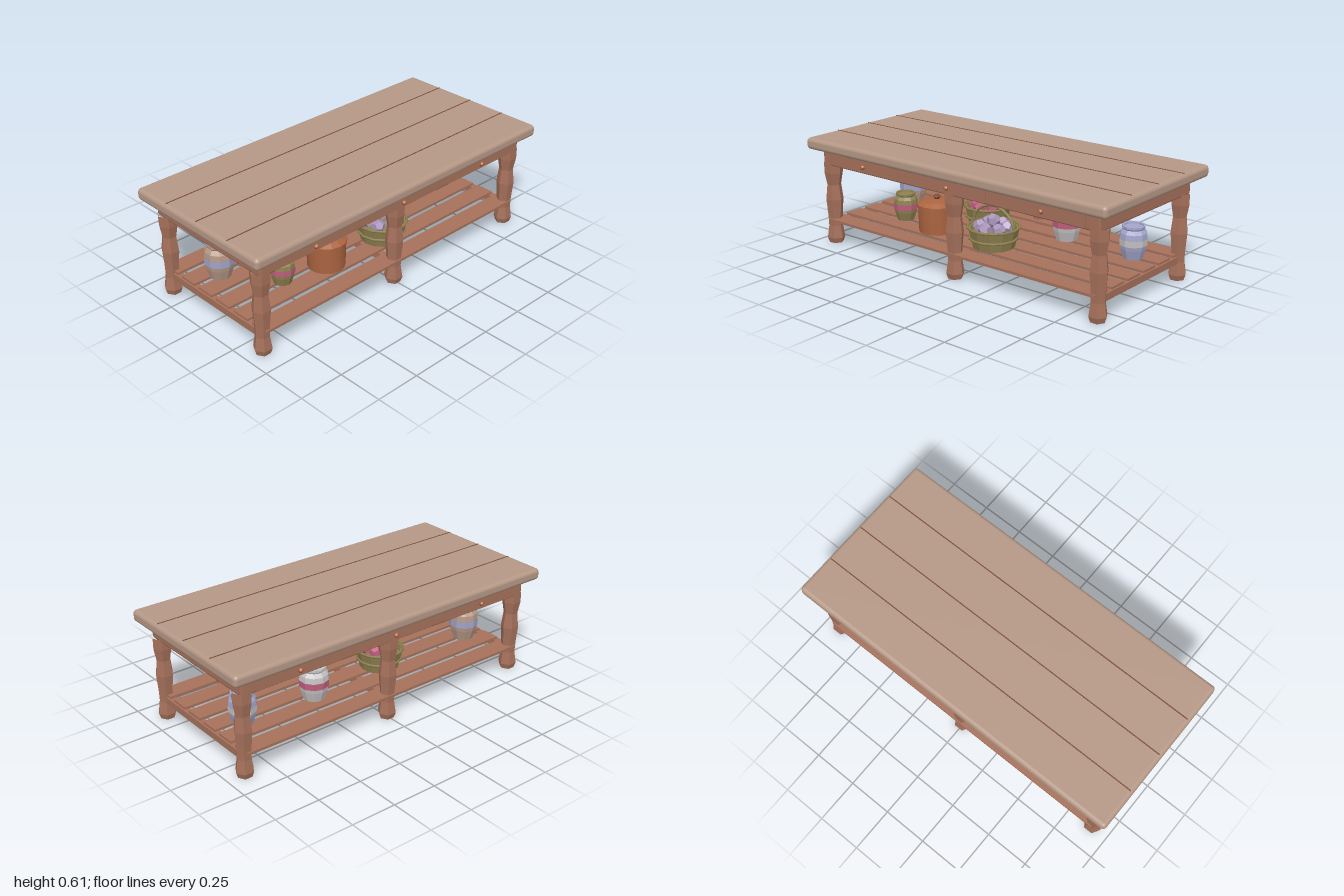
import * as THREE from 'three';
import { toCreasedNormals } from 'three/addons/utils/BufferGeometryUtils.js';
import { RoundedBoxGeometry } from 'three/addons/geometries/RoundedBoxGeometry.js';

const mat = (name, color) => {
  const m = new THREE.MeshStandardMaterial({ color });
  m.name = name;
  return m;
};

export function createModel() {
  const top = mat('pale wood', 0xb59886);
  const wood = mat('reddish wood', 0xa5705a);
  const groove = mat('groove brown', 0x7d4e3c);
  const copper = mat('copper', 0xab6440);
  const wicker = mat('wicker', 0x8f8150);
  const blue = mat('lavender blue', 0xa3a6cb);
  const cream = mat('off white', 0xc6c3c4);
  const pink = mat('pink', 0xc25f80);
  const mauve = mat('mauve', 0xab96bd);

  const model = new THREE.Group();
  const add = (parent, name, geo, material, x = 0, y = 0, z = 0) => {
    const mesh = new THREE.Mesh(geo, material);
    mesh.name = name;
    mesh.position.set(x, y, z);
    parent.add(mesh);
    return mesh;
  };
  const group = (name, x, y, z) => {
    const g = new THREE.Group();
    g.name = name;
    g.position.set(x, y, z);
    model.add(g);
    return g;
  };
  // Faceted turned shape from [radius, height] pairs, bottom to top
  const turned = (pairs, sides, crease = 0.1, start = 0) => toCreasedNormals(
    new THREE.LatheGeometry(pairs.map(([r, y]) => new THREE.Vector2(r, y)), sides, start), crease);

  // Table top with plank grooves
  add(model, 'tableTop', new RoundedBoxGeometry(2, 0.065, 0.93, 3, 0.022), top, 0, 0.5785, 0);
  for (const z of [-0.235, 0, 0.235]) {
    add(model, 'plankGroove', new THREE.BoxGeometry(1.97, 0.004, 0.006), groove, 0, 0.611, z);
  }

  // Apron with three drawers on each long side
  add(model, 'apron', new RoundedBoxGeometry(1.86, 0.092, 0.81, 1, 0.013), wood, 0, 0.501, 0);
  for (const s of [-1, 1]) {
    for (const x of [-0.6, 0, 0.6]) {
      add(model, 'drawerFront', new THREE.BoxGeometry(0.5, 0.064, 0.009), wood, x, 0.5, s * 0.4085);
      const stem = new THREE.CylinderGeometry(0.007, 0.007, 0.014, 6);
      add(model, 'knobStem', stem, copper, x, 0.5, s * 0.417).rotation.x = Math.PI / 2;
      add(model, 'drawerKnob', new THREE.IcosahedronGeometry(0.015, 0), copper, x, 0.5, s * 0.424);
    }
  }

  // Six-sided turned legs
  const legProfile = [[0, 0], [0.04, 0], [0.05, 0.03], [0.039, 0.1], [0.041, 0.16], [0.049, 0.255],
    [0.039, 0.34], [0.052, 0.41], [0.052, 0.47]];
  const legGeo = turned(legProfile, 6, 0.1, Math.PI / 2);
  for (const x of [-0.9, 0, 0.9]) {
    for (const z of [-0.36, 0.36]) add(model, 'leg', legGeo, wood, x, 0, z);
    add(model, 'shelfRail', new THREE.BoxGeometry(0.04, 0.038, 0.7), wood, x, 0.114, 0);
  }

  // Slatted lower shelf
  for (let i = 0; i < 6; i++) {
    add(model, 'shelfSlat', new THREE.BoxGeometry(1.82, 0.014, 0.105), wood, 0, 0.138, -0.35 + i * 0.14);
  }

  // Jars: unit profile scaled to radius and height, with a painted band
  const jarProfile = [[0, 0], [0.7, 0], [0.92, 0.3], [0.97, 0.42], [1, 0.62], [0.95, 0.78],
    [0.75, 0.89], [0.83, 0.93], [0.83, 1], [0.68, 1], [0.66, 0.94], [0, 0.94]];
  const jar = (x, z, r, h, body, band) => {
    const g = group('jar', x, 0.145, z);
    add(g, 'jarBody', turned(jarProfile.map(([a, b]) => [a * r, b * h]), 10), body);
    const strip = jarProfile.slice(3, 5).map(([a, b]) => [a * r + 0.002, b * h]);
    add(g, 'jarBand', turned(strip, 10), band);
  };
  jar(-0.76, -0.135, 0.081, 0.2, top, blue);
  jar(-0.57, 0.13, 0.067, 0.155, wicker, pink);
  jar(0.33, -0.165, 0.08, 0.185, cream, pink);
  jar(0.76, -0.148, 0.074, 0.176, blue, cream);

  // Lidded pot
  const pot = group('pot', -0.3, 0.145, 0.165);
  add(pot, 'potBody', turned([[0, 0], [0.1, 0], [0.104, 0.15], [0, 0.15]], 14, 0.6), copper);
  add(pot, 'potLid', turned([[0, 0.145], [0.11, 0.145], [0.11, 0.155], [0.08, 0.172], [0.03, 0.18], [0, 0.18]], 14), copper);
  add(pot, 'lidKnob', turned([[0.009, 0.175], [0.02, 0.192], [0.016, 0.202], [0, 0.204]], 8), groove);

  // Handled baskets filled with round produce
  const basket = (x, z, s, fill) => {
    const g = group('basket', x, 0.145, z);
    g.scale.set(s, 1, s);
    add(g, 'basketBody', turned([[0, 0], [0.113, 0], [0.138, 0.105], [0.125, 0.105], [0.118, 0.075], [0, 0.075]], 12), wicker);
    for (const [r, y] of [[0.128, 0.05], [0.138, 0.108]]) {
      add(g, 'basketHoop', new THREE.TorusGeometry(r, 0.007, 6, 14), wicker, 0, y, 0).rotation.x = Math.PI / 2;
    }
    const handle = new THREE.TorusGeometry(0.136, 0.008, 6, 12, Math.PI);
    add(g, 'basketHandle', handle, wicker, 0, 0.105, 0).scale.y = 0.85;
    const ball = new THREE.DodecahedronGeometry(0.037, 0);
    for (let i = 0; i < 6; i++) {
      const a = (i * Math.PI) / 3;
      add(g, 'produce', ball, fill, Math.cos(a + 0.5) * 0.073, 0.108, Math.sin(a + 0.5) * 0.073).rotation.set(i, a, 0);
    }
    add(g, 'produce', ball, fill, 0, 0.142, 0);
  };
  basket(0.1, 0.168, 1, mauve);
  basket(-0.165, -0.1, 0.94, pink);

  return model;
}
